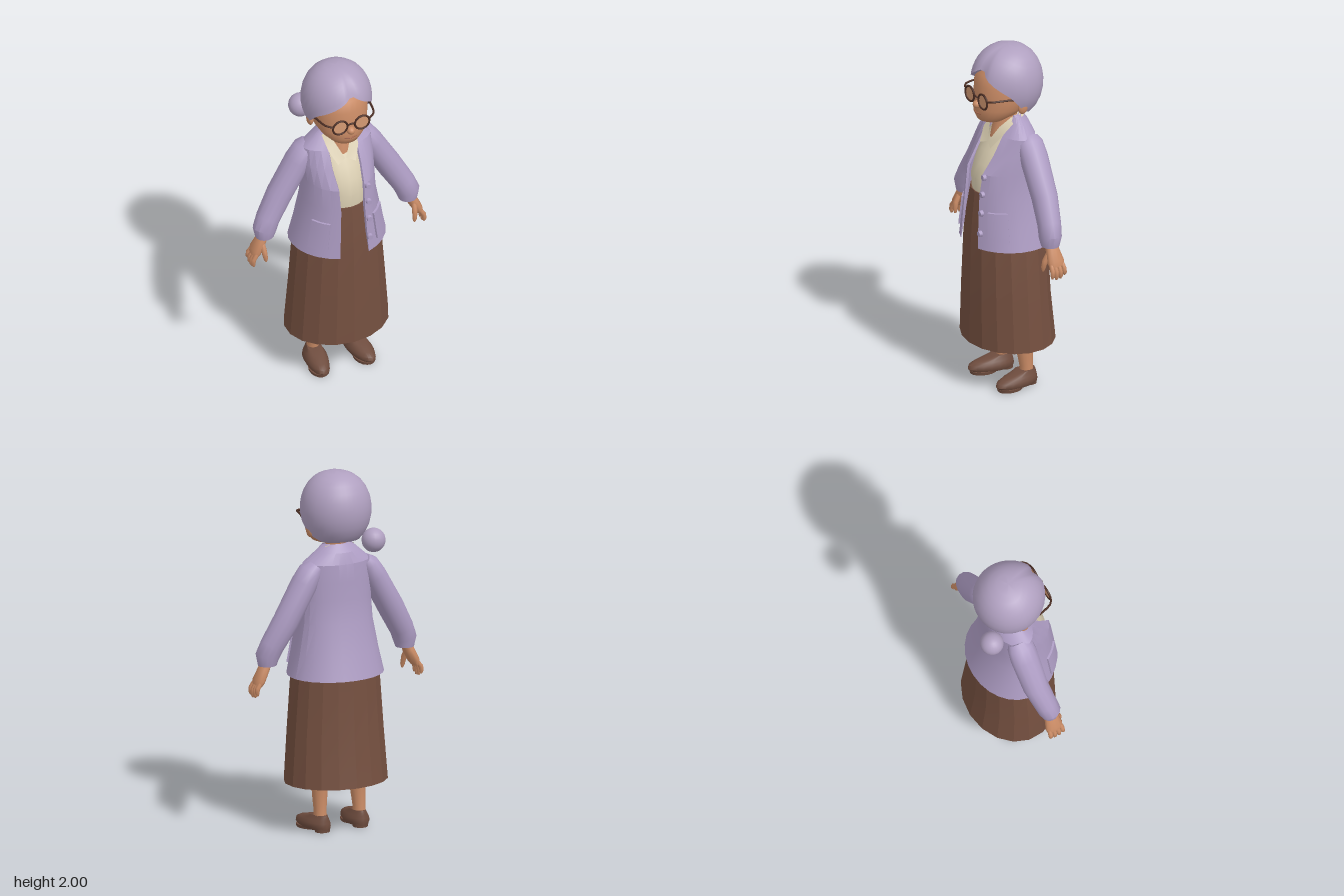
import * as THREE from 'three';
import { toCreasedNormals } from 'three/addons/utils/BufferGeometryUtils.js';

const V = (x, y, z) => new THREE.Vector3(x, y, z);
const mat = (name, color, side = THREE.FrontSide) => {
  const m = new THREE.MeshStandardMaterial({ color, side });
  m.name = name;
  return m;
};

// Joins closed loops of points into a surface, optionally capped at both ends
function skin(rings, crease = 0.9, caps = true) {
  const n = rings[0].length, pos = [], idx = [];
  rings.forEach(r => r.forEach(p => pos.push(p.x, p.y, p.z)));
  for (let i = 0; i < rings.length - 1; i++) {
    for (let j = 0; j < n; j++) {
      const a = i * n + j, b = i * n + (j + 1) % n;
      idx.push(a, b, b + n, a, b + n, a + n);
    }
  }
  if (caps) {
    [0, rings.length - 1].forEach((r, end) => {
      const c = rings[r].reduce((s, p) => s.add(p), V(0, 0, 0)).divideScalar(n);
      const k = pos.length / 3;
      pos.push(c.x, c.y, c.z);
      for (let j = 0; j < n; j++) {
        const a = r * n + j, b = r * n + (j + 1) % n;
        if (end) idx.push(k, a, b); else idx.push(k, b, a);
      }
    });
  }
  const g = new THREE.BufferGeometry();
  g.setAttribute('position', new THREE.Float32BufferAttribute(pos, 3));
  g.setIndex(idx);
  return toCreasedNormals(g, crease);
}

// Horizontal cross-section: half width, depth to the front, depth to the back
const oval = (t, y, rx, zf, zb, cz = 0) =>
  V(rx * Math.sin(t), y, cz + (Math.cos(t) > 0 ? zf : zb) * Math.cos(t));
const loft = (rows, n, crease, caps) => skin(rows.map(r =>
  Array.from({ length: n }, (_, j) => oval(j / n * Math.PI * 2, ...r))), crease, caps);

// Sweep along points [x, y, z, radius towards z, radius sideways]
function sweep(pts, n = 10, crease = 1.2) {
  const c = pts.map(p => V(p[0], p[1], p[2]));
  return skin(pts.map((p, i) => {
    const T = c[Math.min(i + 1, c.length - 1)].clone().sub(c[Math.max(i - 1, 0)]).normalize();
    const U = V(0, 0, 1).addScaledVector(T, -T.z).normalize(), W = T.clone().cross(U);
    return Array.from({ length: n }, (_, j) => {
      const a = j / n * Math.PI * 2;
      return c[i].clone().addScaledVector(U, p[3] * Math.cos(a)).addScaledVector(W, (p[4] ?? p[3]) * Math.sin(a));
    });
  }), crease);
}

// Interpolates rows of numbers by their first entry
function sample(rows, x) {
  let i = 0;
  while (i < rows.length - 2 && rows[i + 1][0] < x) i++;
  const a = rows[i], b = rows[i + 1], f = (x - a[0]) / (b[0] - a[0]);
  return a.map((v, k) => v + (b[k] - v) * f);
}

// Cardigan rows: height, half width, front depth, back depth, half opening
const JACKET = [[0.868, 0.272, 0.262, 0.222, 0.085], [1.0, 0.243, 0.255, 0.185, 0.078], [1.17, 0.212, 0.243, 0.147, 0.07],
  [1.3, 0.205, 0.228, 0.13, 0.075], [1.4, 0.207, 0.162, 0.13, 0.085], [1.5, 0.2, 0.1, 0.122, 0.085],
  [1.56, 0.13, 0.05, 0.1, 0.085], [1.6, 0.085, 0.025, 0.065, 0.075]];
const jacketAt = (t, y, off) => {
  const r = sample(JACKET, y);
  return oval(t, y, r[1] + off, r[2] + off, r[3] + off);
};
function jacketGeometry() {
  const n = 24;
  return skin(JACKET.map((r, i) => {
    const t0 = Math.asin(r[4] / r[1]), loop = [];
    const at = (j, off) => jacketAt(t0 + (2 * Math.PI - 2 * t0) * j / n, r[0], off);
    for (let j = 0; j <= n; j++) loop.push(at(j, 0));
    for (let j = n; j >= 0; j--) loop.push(at(j, i ? -0.014 : -0.002));
    return loop;
  }), 0.3, false);
}
// Raised patch that follows the cardigan
function pocketGeometry(s) {
  const g = new THREE.PlaneGeometry(1, 1, 8, 8), p = g.attributes.position;
  const grid = [0, 0.005, 0.1, 0.3, 0.5, 0.7, 0.9, 0.995, 1];
  for (let i = 0; i < p.count; i++) {
    const a = grid[i % 9], b = grid[Math.floor(i / 9)];
    const edge = a === 0 || a === 1 || b === 0 || b === 1;
    const q = jacketAt(s * 0.81 + (a - 0.5) * 0.46, 1.09 - 0.17 * b, edge ? -0.004 : 0.01);
    p.setXYZ(i, q.x, q.y, q.z);
  }
  return toCreasedNormals(g, 0.5);
}

// Swept-back hair with a front parting and an uneven hairline
function hairGeometry() {
  const line = [[0, 1.9], [30, 1.835], [60, 1.77], [75, 1.71], [90, 1.66], [120, 1.625], [180, 1.63]];
  const n = 40, m = 11, rings = [];
  for (let i = 0; i <= m; i++) {
    const ring = [];
    for (let j = 0; j < n; j++) {
      const a = j / n * Math.PI * 2, d = a > Math.PI ? a - 2 * Math.PI : a;
      const yEdge = sample(line, Math.abs(d - 0.06 * Math.cos(a)) * 180 / Math.PI)[1];
      const phi = Math.acos((yEdge - 1.79) / 0.21) * (1 - Math.max(0, i - 1) / (m - 1) * 0.985);
      const s = Math.pow(Math.sin(phi), 0.85) * (i ? 1 : 0.82);
      const front = Math.max(0, Math.cos(a));
      const part = 0.022 * Math.exp(-Math.pow((d - 0.15) / 0.16, 2));
      ring.push(V(Math.sin(a) * s * 0.195, 1.79 + 0.21 * Math.cos(phi), Math.cos(a) * s * (0.193 + 0.018 * front - part)));
    }
    rings.push(ring);
  }
  return skin(rings, 1);
}

// Shirt collar flap
function collarGeometry(s) {
  const inner = [[0.05, 1.6, -0.05], [0.064, 1.59, 0.02], [0.045, 1.54, 0.085], [0.003, 1.45, 0.13]];
  const outer = [[0.085, 1.595, -0.05], [0.098, 1.565, 0.03], [0.088, 1.5, 0.1], [0.052, 1.43, 0.148]];
  const pos = [], idx = [];
  inner.forEach((p, i) => {
    pos.push(p[0] * s, p[1], p[2], outer[i][0] * s, outer[i][1], outer[i][2]);
    const k = i * 2;
    if (i < 3) idx.push(...(s > 0 ? [k, k + 2, k + 1, k + 1, k + 2, k + 3] : [k, k + 1, k + 2, k + 1, k + 3, k + 2]));
  });
  const g = new THREE.BufferGeometry();
  g.setAttribute('position', new THREE.Float32BufferAttribute(pos, 3));
  g.setIndex(idx);
  return toCreasedNormals(g, 0.9);
}

export function createModel() {
  const group = new THREE.Group();
  const skinMat = mat('skin', 0xcb8c66), hair = mat('hair', 0xb0a0c0), knit = mat('knit', 0xae9dc4, THREE.DoubleSide);
  const skirt = mat('skirt', 0x755040), cream = mat('cream', 0xd8ccb0, THREE.DoubleSide), leather = mat('leather', 0x6e4c3e);
  const frame = mat('glassesFrame', 0x4c2e24), lens = mat('lens', 0xd59a73, THREE.DoubleSide), lip = mat('lip', 0xa8674c);
  const add = (name, geo, m, parent = group) => {
    const o = new THREE.Mesh(geo, m);
    o.name = name;
    parent.add(o);
    return o;
  };
  const ball = (name, m, x, y, z, rx, ry, rz) => {
    const o = add(name, new THREE.SphereGeometry(1, 20, 14), m);
    o.position.set(x, y, z);
    o.scale.set(rx, ry, rz);
    return o;
  };
  const tube = (name, pts, r, m) =>
    add(name, new THREE.TubeGeometry(new THREE.CatmullRomCurve3(pts.map(p => V(...p))), 10, r, 6), m);

  // Head and hair
  add('head', loft([[1.58, 0.045, 0.04, 0.04, 0.115], [1.595, 0.08, 0.075, 0.07, 0.11], [1.63, 0.12, 0.125, 0.12, 0.075],
    [1.67, 0.145, 0.155, 0.14, 0.045], [1.73, 0.157, 0.165, 0.15, 0.03], [1.8, 0.158, 0.165, 0.15, 0.025],
    [1.86, 0.145, 0.15, 0.14, 0.02], [1.93, 0.09, 0.09, 0.09, 0.01]], 28, 1.2), skinMat);
  add('hair', hairGeometry(), hair);
  ball('hairBun', hair, -0.132, 1.637, -0.185, 0.066, 0.067, 0.065);
  ball('nose', skinMat, 0, 1.69, 0.198, 0.023, 0.022, 0.026);
  tube('mouth', [[-0.035, 1.643, 0.193], [0, 1.64, 0.202], [0.035, 1.643, 0.193]], 0.004, lip);
  add('neck', sweep([[0, 1.42, 0.04, 0.07, 0.07], [0, 1.5, 0.03, 0.068, 0.06], [0, 1.58, 0.012, 0.06, 0.058], [0, 1.66, 0, 0.06, 0.058]], 16), skinMat);

  // Glasses bridge
  tube('glassesBridge', [[-0.02, 1.738, 0.208], [0, 1.745, 0.212], [0.02, 1.738, 0.208]], 0.005, frame);

  // Clothing on the body
  add('shirt', loft([[1.14, 0.17, 0.205, 0.1], [1.25, 0.17, 0.212, 0.1], [1.33, 0.17, 0.185, 0.1],
    [1.4, 0.16, 0.148, 0.1], [1.46, 0.13, 0.105, 0.09], [1.52, 0.1, 0.06, 0.07], [1.585, 0.066, 0.04, 0.06]], 24, 0.5), cream);
  add('skirt', loft([[0.268, 0.295, 0.247, 0.243], [0.55, 0.275, 0.246, 0.212], [0.87, 0.25, 0.24, 0.2],
    [1.0, 0.225, 0.232, 0.165], [1.17, 0.185, 0.214, 0.12]], 18, 0.12), skirt);
  add('cardigan', jacketGeometry(), knit);
  [1.29, 1.19, 1.08, 0.96].forEach(y => {
    const b = add('button', new THREE.CylinderGeometry(0.015, 0.018, 0.018, 12), knit);
    const q = jacketAt(0.45, y, 0.004);
    b.position.set(0.095, y, q.z + 0.008);
    b.rotation.x = Math.PI / 2;
  });

  for (const s of [1, -1]) {
    const side = s > 0 ? 'left' : 'right';
    const limb = pts => pts.map(([x, ...r]) => [x * s, ...r]);
    // Face sides and glasses
    ball(side + 'Ear', skinMat, s * 0.158, 1.685, 0.005, 0.018, 0.04, 0.03);
    const ring = add(side + 'GlassesRim', new THREE.TorusGeometry(0.043, 0.006, 6, 24), frame);
    ring.position.set(s * 0.065, 1.73, 0.204);
    const glass = add(side + 'Lens', new THREE.CircleGeometry(0.042, 24), lens);
    glass.position.set(s * 0.065, 1.73, 0.203);
    tube(side + 'GlassesArm', [[s * 0.108, 1.745, 0.204], [s * 0.14, 1.752, 0.185], [s * 0.162, 1.75, 0.1], [s * 0.165, 1.73, 0]], 0.006, frame);
    // Collar, pocket and sleeve
    add(side + 'Collar', collarGeometry(s), cream);
    add(side + 'Pocket', pocketGeometry(s), knit);
    add(side + 'Sleeve', sweep(limb([[0.15, 1.49, -0.03, 0.06, 0.04], [0.175, 1.465, -0.03, 0.075, 0.06], [0.215, 1.395, -0.03, 0.08, 0.07],
      [0.325, 1.2, -0.028, 0.072, 0.073], [0.4, 1.07, -0.01, 0.064, 0.068], [0.425, 1.01, 0, 0.062, 0.067],
      [0.425, 0.96, 0, 0.05, 0.052]]), 14, 0.7), knit);
    // Hand
    add(side + 'Palm', sweep(limb([[0.42, 1.0, 0, 0.03, 0.028], [0.447, 0.94, 0, 0.04, 0.03], [0.478, 0.88, -0.002, 0.052, 0.028],
      [0.49, 0.855, -0.003, 0.045, 0.02]]), 12), skinMat);
    [0.036, 0.012, -0.013, -0.038].forEach((z, i) => {
      const e = [0.01, 0, 0.003, 0.018][i];
      add(side + 'Finger', sweep(limb([[0.482, 0.875, z * 0.9, 0.013], [0.505, 0.835 + e / 2, z, 0.014],
        [0.508, 0.803 + e, z * 1.05, 0.012], [0.504, 0.788 + e, z * 1.05, 0.006]]), 8), skinMat);
    });
    add(side + 'Thumb', sweep(limb([[0.45, 0.93, 0.025, 0.015], [0.447, 0.885, 0.048, 0.016], [0.442, 0.845, 0.056, 0.013], [0.44, 0.825, 0.056, 0.006]]), 8), skinMat);
    // Leg and shoe
    add(side + 'Leg', sweep(limb([[0.12, 0.045, -0.045, 0.04, 0.036], [0.12, 0.12, -0.04, 0.038, 0.035], [0.118, 0.2, -0.032, 0.046, 0.041],
      [0.115, 0.33, -0.03, 0.056, 0.05]]), 14), skinMat);
    const shoe = new THREE.Group();
    shoe.name = side + 'Shoe';
    shoe.position.set(s * 0.125, 0, 0);
    shoe.rotation.y = s * 0.12;
    group.add(shoe);
    add('upper', loft([[0.012, 0.056, 0.145, 0.105, 0], [0.03, 0.066, 0.165, 0.108, 0], [0.05, 0.063, 0.158, 0.105, 0],
      [0.065, 0.054, 0.125, 0.102, 0], [0.08, 0.046, 0.06, 0.1, 0], [0.092, 0.04, 0.01, 0.095, 0]], 20, 0.9), leather, shoe);
    add('sole', loft([[0, 0.056, 0.08, 0.075, 0.07], [0.016, 0.058, 0.082, 0.076, 0.07]], 16, 0.5), leather, shoe);
    add('heel', loft([[0, 0.042, 0.035, 0.04, -0.062], [0.03, 0.046, 0.04, 0.042, -0.062]], 14, 0.5), leather, shoe);
  }
  return group;
}
